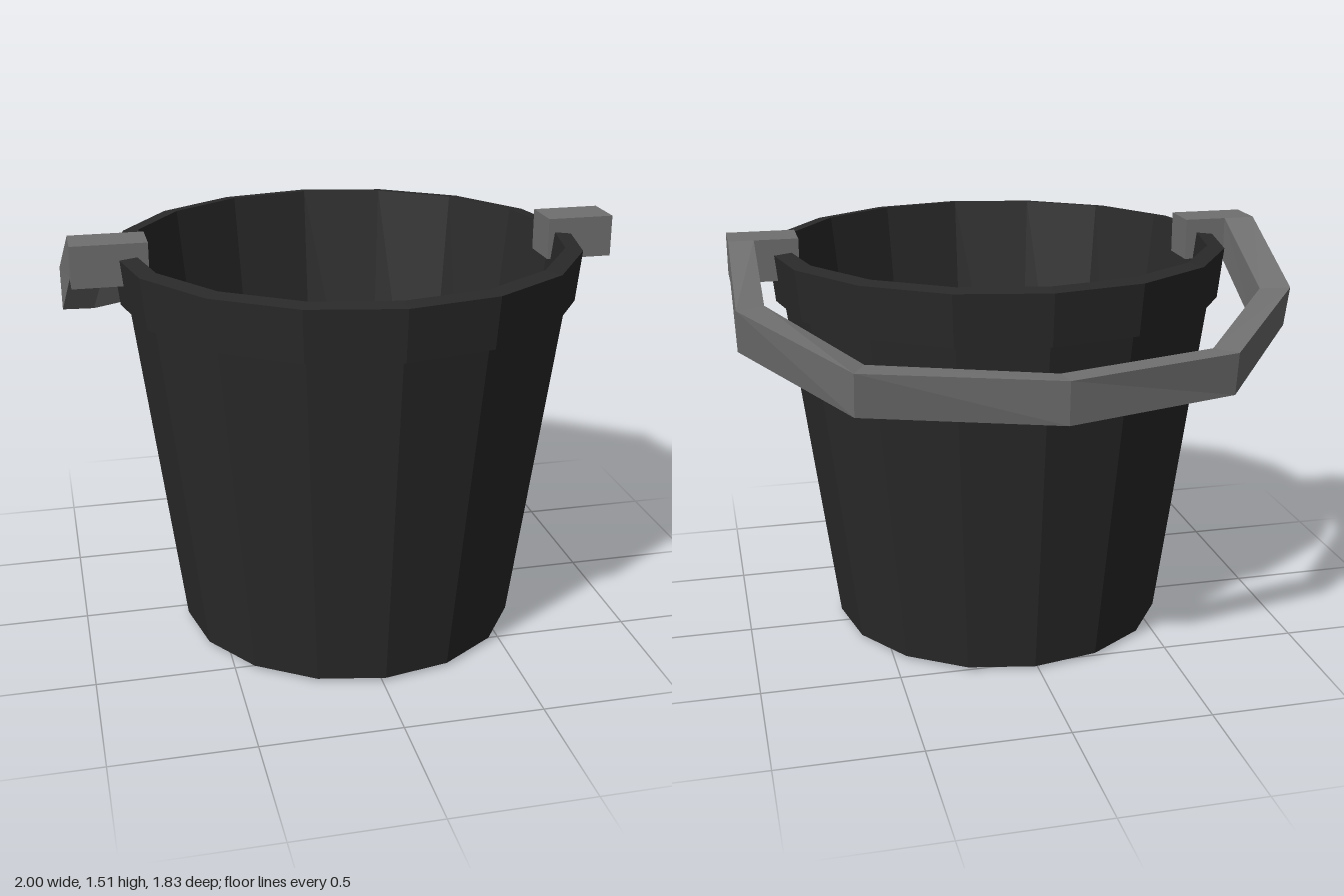
import * as THREE from 'three';

// Flat-shaded strap swept through four-cornered cross-sections, with end caps
function strapGeometry(rings) {
  const pos = [];
  const quad = (a, b, c, d) => [a, b, c, a, c, d].forEach((p) => pos.push(...p));
  for (let i = 0; i < rings.length - 1; i++) {
    const r = rings[i], s = rings[i + 1];
    for (let k = 0; k < 4; k++) {
      const n = (k + 1) % 4;
      quad(r[k], r[n], s[n], s[k]);
    }
  }
  const a = rings[0], b = rings[rings.length - 1];
  quad(a[3], a[2], a[1], a[0]);
  quad(b[0], b[1], b[2], b[3]);
  const g = new THREE.BufferGeometry();
  g.setAttribute('position', new THREE.Float32BufferAttribute(pos, 3));
  g.computeVertexNormals();
  return g;
}

export function createModel() {
  const group = new THREE.Group();
  const darkGrey = new THREE.MeshStandardMaterial({ color: 0x2a2a2a, flatShading: true });
  const midGrey = new THREE.MeshStandardMaterial({ color: 0x707070, flatShading: true });

  const add = (name, geometry, material, x = 0, y = 0, z = 0) => {
    const mesh = new THREE.Mesh(geometry, material);
    mesh.name = name;
    mesh.position.set(x, y, z);
    group.add(mesh);
  };

  // Sixteen-sided tapered bucket with a raised band, hollow inside
  const profile = [
    [0, 0], [0.628, 0.012], [0.79, 1.272], [0.82, 1.272], [0.839, 1.455],
    [0.777, 1.463], [0.608, 0.06], [0, 0.06],
  ].map(([r, y]) => new THREE.Vector2(r, y));
  const shell = new THREE.LatheGeometry(profile, 16).toNonIndexed();
  shell.computeVertexNormals();
  add('bucket', shell, darkGrey, 0.013, 0, 0.076);

  // Handle lugs gripping the rim
  add('rightLug', new THREE.BoxGeometry(0.268, 0.15, 0.155), midGrey, -0.842, 1.438, 0.0875);
  add('leftLug', new THREE.BoxGeometry(0.245, 0.15, 0.16), midGrey, 0.8715, 1.438, 0.08);

  // Folded handle: outer x, z, inner x, z, top y, forward shift of the lower edge
  const sections = [
    [-0.975, 0.01, -0.86, 0.01, 1.513, 0.01],
    [-1.0, -0.31, -0.885, -0.3, 1.312, 0.04],
    [-0.61, -0.8, -0.545, -0.727, 1.228, 0.02],
    [0, -0.917, 0.01, -0.832, 1.21, 0.007],
    [0.67, -0.83, 0.625, -0.742, 1.255, 0.025],
    [1.0, -0.455, 0.905, -0.405, 1.378, 0.05],
    [0.994, 0, 0.905, 0, 1.513, 0.015],
  ];
  const rings = sections.map(([ox, oz, ix, iz, y, s]) => [
    [ox, y, oz], [ix, y, iz], [ix, y - 0.152, iz + s], [ox, y - 0.152, oz + s],
  ]);
  add('handle', strapGeometry(rings), midGrey);

  return group;
}
